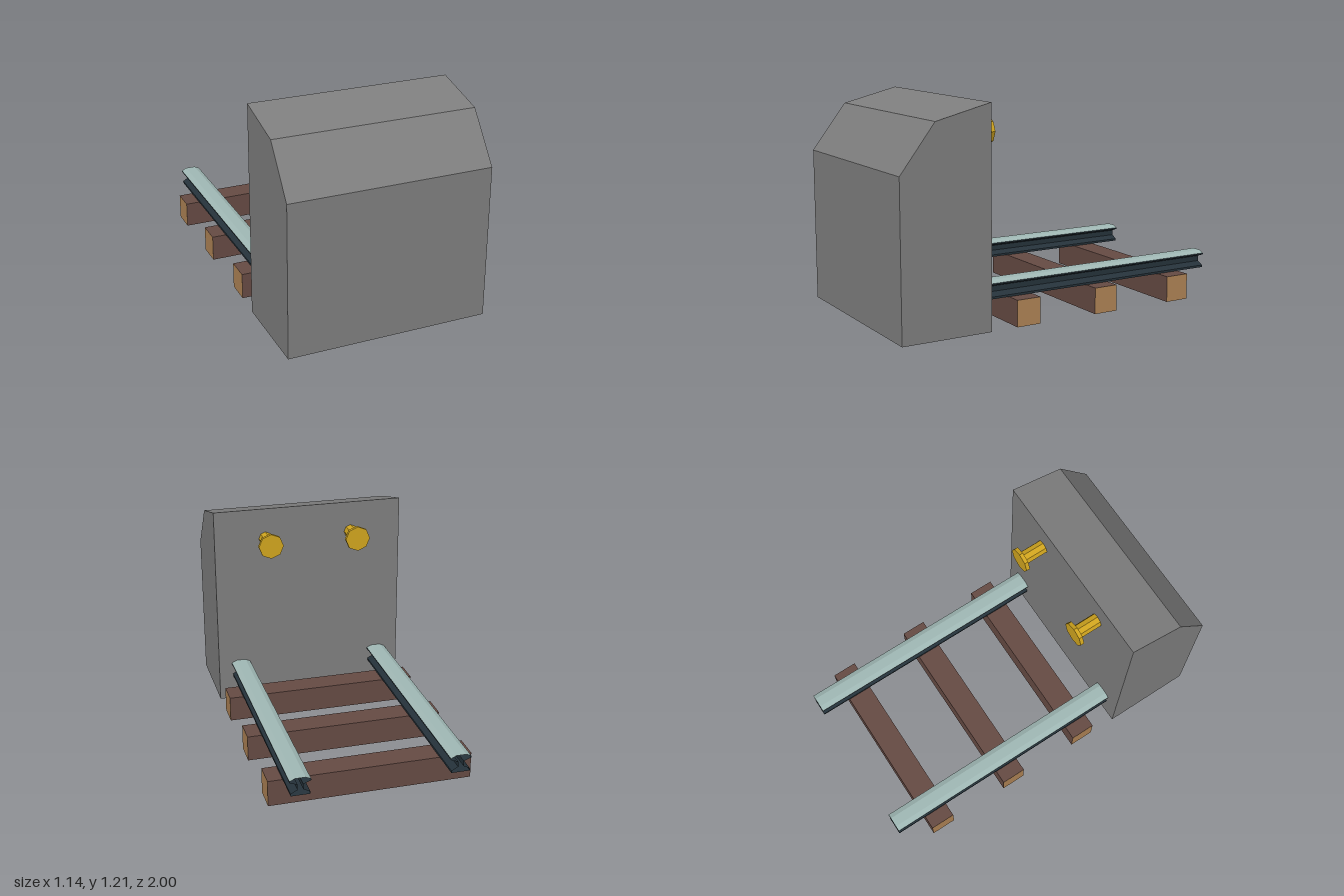
import * as THREE from 'three';

const mat = (name, color) => {
  const m = new THREE.MeshStandardMaterial({ color, flatShading: true, side: THREE.DoubleSide });
  m.name = name;
  return m;
};

// Sweep an open polyline (counterclockwise = outward) along z
function sheet(points, z0, z1) {
  const pos = [];
  for (let i = 0; i < points.length - 1; i++) {
    const [ax, ay] = points[i], [bx, by] = points[i + 1];
    pos.push(ax, ay, z0, bx, by, z0, bx, by, z1, ax, ay, z0, bx, by, z1, ax, ay, z1);
  }
  const g = new THREE.BufferGeometry();
  g.setAttribute('position', new THREE.Float32BufferAttribute(pos, 3));
  g.computeVertexNormals();
  return g;
}

function add(parent, name, geometry, material) {
  const mesh = new THREE.Mesh(geometry, material);
  mesh.name = name;
  parent.add(mesh);
  return mesh;
}

// Bottomless solid running across x; profile points are [-z, y]
function crossPiece(name, points, half, sideMat, endMat) {
  const g = new THREE.Group();
  g.name = name;
  add(g, name + 'Shell', sheet(points, -half, half), sideMat);
  for (const s of [1, -1]) {
    const shape = new THREE.Shape(points.map(([u, y]) => new THREE.Vector2(s * u, y)));
    const end = new THREE.ShapeGeometry(shape);
    end.translate(0, 0, half);
    if (s < 0) end.rotateY(Math.PI);
    add(g, name + 'End', end, endMat);
  }
  g.rotation.y = Math.PI / 2;
  return g;
}

export function createModel() {
  const model = new THREE.Group();
  model.name = 'bufferStop';
  const concrete = mat('concrete', 0x7e7e7e);
  const wood = mat('darkWood', 0x654a43);
  const cutWood = mat('cutWood', 0xae8355);
  const railSteel = mat('darkSteel', 0x25323a);
  const wornSteel = mat('wornSteel', 0x9fb7b4);
  const brass = mat('yellowMetal', 0xcfa41e);

  // Stop block with chamfered top
  model.add(crossPiece('stopBlock',
    [[-0.48, 0], [-0.48, 1.205], [-0.8, 1.125], [-1, 0.865], [-1, 0]], 0.57, concrete, concrete));

  // Sleepers
  for (const z of [0.25, -0.25, -0.75]) {
    const w = 0.072, h = 0.148;
    const sleeper = crossPiece('sleeper', [[w, 0], [w, h], [-w, h], [-w, 0]], 0.566, wood, cutWood);
    sleeper.position.z = z;
    model.add(sleeper);
  }

  // Rails: dark foot and web, worn head, open ends
  const half = [[0.052, 0.15], [0.052, 0.162], [0.015, 0.182], [0.015, 0.212], [0.057, 0.228], [0.057, 0.236]];
  const mirror = (pts) => pts.map(([x, y]) => [-x, y]).reverse();
  const right = sheet(half, -1, 0.48);
  const left = sheet([...mirror(half), half[0]], -1, 0.48);
  const crown = [[0.057, 0.236], [0.028, 0.25]];
  const head = sheet([...crown, ...mirror(crown)], -1, 0.48);
  for (const s of [1, -1]) {
    const rail = new THREE.Group();
    rail.name = 'rail';
    add(rail, 'railWebAndFoot', right, railSteel);
    add(rail, 'railWebAndFoot', left, railSteel);
    add(rail, 'railHead', head, wornSteel);
    rail.position.x = s * 0.434;
    model.add(rail);
  }

  // Octagonal buffers on the back face
  const rod = (r, z0, z1) =>
    new THREE.CylinderGeometry(r, r, z1 - z0, 8).rotateX(Math.PI / 2).translate(0, 0, (z0 + z1) / 2);
  for (const s of [1, -1]) {
    const buffer = new THREE.Group();
    buffer.name = 'buffer';
    add(buffer, 'bufferShaft', rod(0.04, 0.34, 0.48), brass);
    add(buffer, 'bufferPlate', rod(0.074, 0.322, 0.344), brass);
    buffer.position.set(s * 0.263, 1.022, 0);
    model.add(buffer);
  }
  return model;
}
